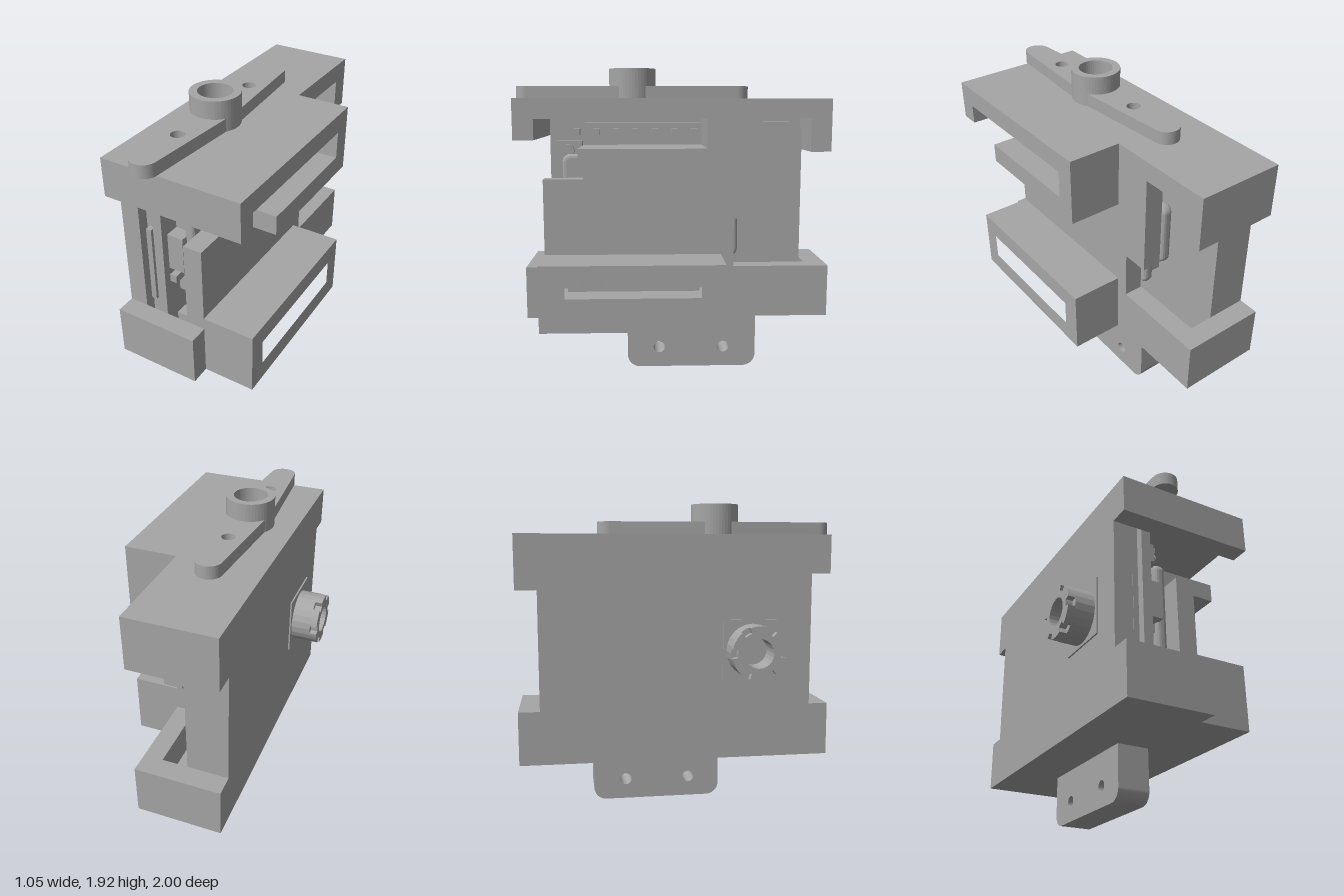
import * as THREE from 'three';

export function createModel() {
  const model = new THREE.Group();
  const grey = new THREE.MeshStandardMaterial({ color: 0xa6a6a6 });
  grey.name = 'plain grey';

  const add = (name, geometry) => {
    const mesh = new THREE.Mesh(geometry, grey);
    mesh.name = name;
    model.add(mesh);
    return mesh;
  };
  const box = (name, x0, x1, y0, y1, z0, z1) => add(name,
    new THREE.BoxGeometry(x1 - x0, y1 - y0, z1 - z0)
      .translate((x0 + x1) / 2, (y0 + y1) / 2, (z0 + z1) / 2));
  const circle = (x, y, r) => new THREE.Path().absarc(x, y, r, 0, Math.PI * 2, true);
  const outline = (pts) => new THREE.Shape(pts.map(([z, y]) => new THREE.Vector2(-z, y)));
  // Side profile in (-z, y), extruded from x0 to x1
  const profile = (name, x0, x1, shape, bevel = 0) => add(name,
    new THREE.ExtrudeGeometry(shape, {
      depth: x1 - x0 - 2 * bevel, bevelEnabled: bevel > 0, bevelSize: bevel,
      bevelThickness: bevel, bevelOffset: -bevel, bevelSegments: 3, curveSegments: 12,
    }).rotateY(Math.PI / 2).translate(x0 + bevel, 0, 0));
  // Rectangle in (-z, y) with bottom and top corner radii
  const rounded = (z0, z1, y0, y1, rb, rt) => {
    const a = -z1, b = -z0, s = new THREE.Shape();
    s.moveTo(a + rb, y0);
    s.lineTo(b - rb, y0);
    if (rb) s.absarc(b - rb, y0 + rb, rb, -Math.PI / 2, 0);
    s.lineTo(b, y1 - rt);
    if (rt) s.absarc(b - rt, y1 - rt, rt, 0, Math.PI / 2);
    s.lineTo(a + rt, y1);
    if (rt) s.absarc(a + rt, y1 - rt, rt, Math.PI / 2, Math.PI);
    s.lineTo(a, y0 + rb);
    if (rb) s.absarc(a + rb, y0 + rb, rb, Math.PI, Math.PI * 1.5);
    return s;
  };
  const slot = () => new THREE.Path(
    [[0.69, 0.46], [0.69, 0.63], [-0.19, 0.63], [-0.19, 0.46]].map(([z, y]) => new THREE.Vector2(-z, y)));

  // Case: roof, floor, end lips
  box('roofFront', -0.35, 0.52, 1.61, 1.73, -0.31, 0.93);
  box('roofRear', -0.35, 0.19, 1.61, 1.73, -1, -0.31);
  box('topFrontLip', -0.35, 0.52, 1.49, 1.61, 0.81, 0.93);
  box('topRearLip', -0.35, 0.19, 1.4, 1.61, -1, -0.87);
  box('floor', -0.35, 0.19, 0.34, 0.46, -1, 0.93);
  box('bottomFrontLip', -0.35, 0.19, 0.46, 0.67, 0.81, 0.93);
  box('bottomRearLip', -0.35, 0.19, 0.46, 0.67, -1, -0.87);
  box('outerWall', -0.35, -0.23, 0.46, 1.61, -0.87, 0.81);

  // Inner wall with corner cut-outs and cable slots
  const wall = outline([[0.81, 0.34], [0.81, 1.23], [0.56, 1.23], [0.56, 1.44], [-0.19, 1.44],
    [-0.19, 1.61], [-0.56, 1.61], [-0.56, 0.98], [-0.39, 0.98], [-0.39, 0.67], [-1, 0.67], [-1, 0.34]]);
  wall.holes.push(slot());
  profile('slottedWall', 0.07, 0.19, wall);

  // Side rails
  profile('topRail', 0.19, 0.52, outline([[0.56, 1.32], [0.56, 1.44], [-0.19, 1.44],
    [-0.19, 1.61], [-0.31, 1.61], [-0.31, 1.32]]));
  const rail = outline([[0.81, 0.34], [0.81, 0.75], [-0.31, 0.75], [-0.31, 0.34]]);
  rail.holes.push(slot());
  profile('bottomRail', 0.19, 0.52, rail);

  // Electronics inside
  box('innerCore', -0.23, -0.15, 0.46, 1.6, -0.87, 0.74);
  box('coreRib', -0.21, -0.175, 0.72, 1.23, 0.74, 0.78);
  profile('circuitBoard', -0.15, -0.09, rounded(-0.87, 0.79, 0.46, 1.58, 0.08, 0.08));
  profile('cover', 0.0, 0.07, rounded(-0.43, 0.7, 0.71, 1.38, 0.05, 0.05), 0.025);
  profile('coverRear', 0.0, 0.07, rounded(-0.58, -0.35, 0.97, 1.38, 0.05, 0.05), 0.025);
  box('coverCore', -0.09, 0.01, 0.75, 1.34, -0.38, 0.65);
  box('connector', -0.09, 0.015, 0.97, 1.21, 0.5, 0.74);
  box('smallChip', -0.09, -0.045, 0.87, 0.92, 0.65, 0.74);
  box('buttonBase', -0.09, -0.04, 1.34, 1.46, 0.58, 0.75);
  add('button', new THREE.CylinderGeometry(0.04, 0.04, 0.04, 24)
    .rotateZ(Math.PI / 2).translate(-0.02, 1.4, 0.67));
  for (const [y, front] of [[1.52, 0.56], [0.525, 0.69]]) {
    box('header', -0.09, 0.0, y - 0.065, y + 0.06, -0.19, front);
    for (let i = 0; i < 7; i++) {
      const z = 0.607 - i * 0.125;
      box('headerPin', 0.0, 0.05, y - 0.02, y + 0.02, z - 0.02, z + 0.02);
    }
  }

  // Mounting tab
  const tab = rounded(-0.54, 0.29, 0, 0.34, 0.08, 0);
  tab.holes.push(circle(-0.085, 0.13, 0.037), circle(0.33, 0.13, 0.037));
  profile('mountingTab', -0.04, 0.17, tab);

  // Horn on the roof: tapered arm drawn in (x, -z), then laid flat
  const arm = new THREE.Shape();
  arm.moveTo(0.13, 0);
  arm.lineTo(0.08, 0.67);
  arm.absarc(0, 0.67, 0.08, 0, Math.PI);
  arm.lineTo(-0.13, 0);
  arm.lineTo(-0.08, -0.67);
  arm.absarc(0, -0.67, 0.08, Math.PI, Math.PI * 2);
  arm.closePath();
  arm.holes.push(circle(0, 0.375, 0.042), circle(0, -0.375, 0.042));
  add('hornArm', new THREE.ExtrudeGeometry(arm, { depth: 0.08, bevelEnabled: false, curveSegments: 16 })
    .rotateX(-Math.PI / 2).translate(-0.06, 1.73, 0.25));
  const hub = new THREE.Shape().absarc(0, 0, 0.15, 0, Math.PI * 2);
  hub.holes.push(circle(0, 0, 0.103));
  add('hornHub', new THREE.ExtrudeGeometry(hub, { depth: 0.19, bevelEnabled: false, curveSegments: 24 })
    .rotateX(-Math.PI / 2).translate(-0.06, 1.73, 0.25));
  add('hornScrew', new THREE.CylinderGeometry(0.06, 0.06, 0.03, 24).translate(-0.06, 1.825, 0.25));

  // Output shaft with a castellated rim
  box('shaftPlate', -0.36, -0.35, 0.84, 1.21, 0.25, 0.62);
  const shaftY = 1.02, shaftZ = 0.435, R = 0.165;
  const ring = (name, x0, x1, shape) => {
    shape.holes.push(circle(0, 0, 0.09));
    profile(name, x0, x1, shape).position.set(0, shaftY, shaftZ);
  };
  ring('shaft', -0.485, -0.35, new THREE.Shape().absarc(0, 0, R, 0, Math.PI * 2));
  const rim = new THREE.Shape(), half = 0.17;
  for (let i = 0; i < 6; i++) {
    const a = i * Math.PI / 3, b = a + Math.PI / 3;
    rim.absarc(0, 0, 0.13, a - half, a + half);
    rim.absarc(0, 0, R, a + half, b - half);
  }
  rim.closePath();
  ring('shaftRim', -0.53, -0.485, rim);

  return model;
}
